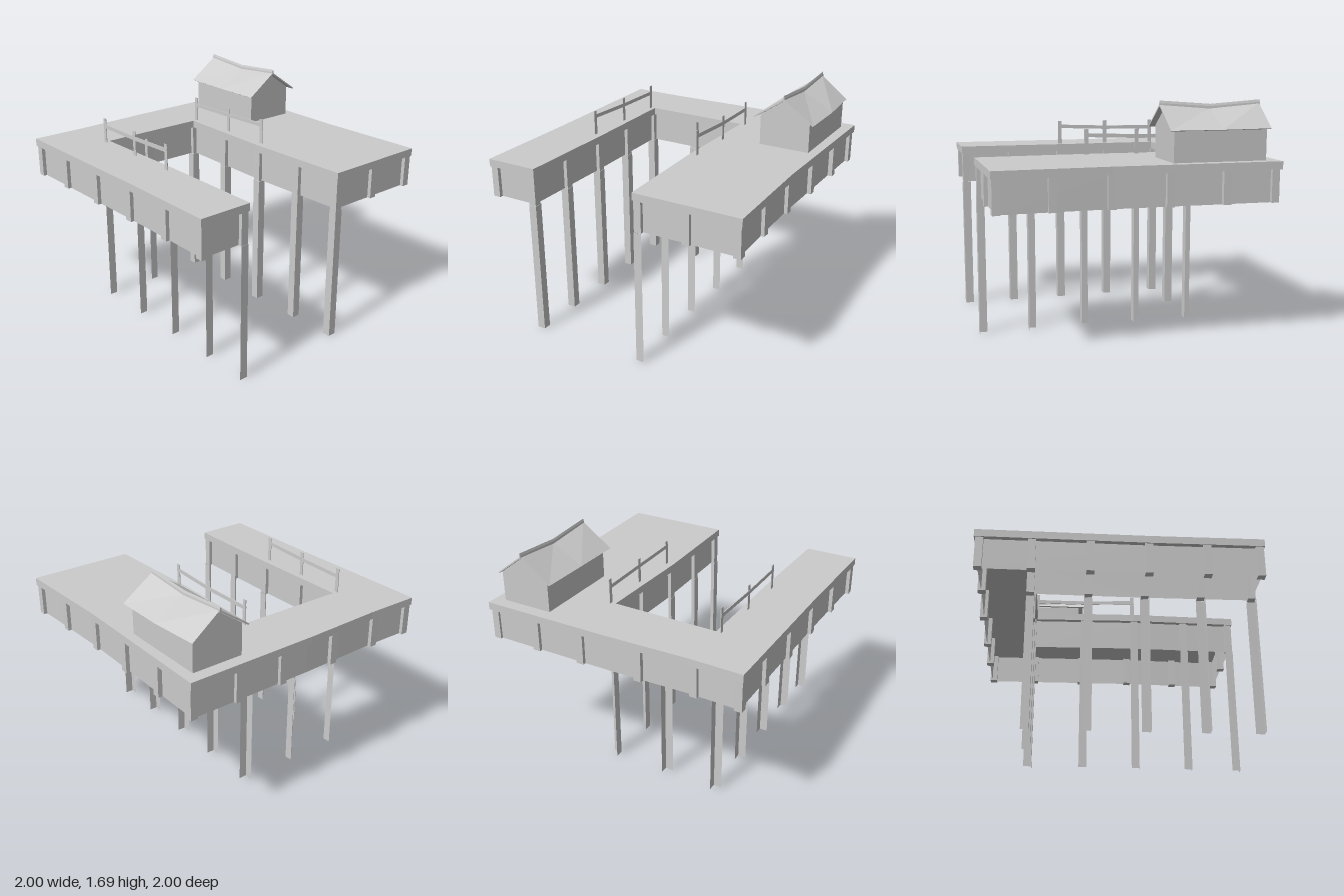
import * as THREE from 'three';

const solid = new THREE.MeshStandardMaterial({ color: 0xcccccc, flatShading: true });
const sheet = new THREE.MeshStandardMaterial({ color: 0xcccccc, flatShading: true, side: THREE.DoubleSide });

const DECK_BOTTOM = 1.23, DECK_TOP = 1.285, SKIRT_BOTTOM = 1.0, POST = 0.055;

// Bend of the crooked long edges: 0 at both ends, 1 at z = 0.2
const bend = z => Math.max(0, 1 - Math.abs(z - 0.2) / (z > 0.2 ? 0.8 : 0.8 + 0.4));
const outerRight = z => 1 - 0.025 * bend(z);
const innerRight = z => 0.2 - 0.02 * bend(z);
const innerLeft = z => -0.605 + 0.01 * bend(z);
const outerLeft = z => -1 + 0.008 * bend(z);

// U-shaped plan as [x, z] points, shrunk inward by d
function outline(d) {
  return [
    [-1 + d, 1 - d], [innerLeft(1) - d, 1 - d], [innerLeft(0.2) - d, 0.2], [innerLeft(-0.58) - d, -0.585 - d],
    [0.2 + d, -0.575 - d], [innerRight(0.2) + d, 0.2], [0.2 + d, 1 - d], [1 - d, 1 - d],
    [outerRight(0.2) - d, 0.2], [0.99 - d, -1 + d], [0, -1 + d], [-0.6, -0.985 + d],
    [-1 + d, -0.992 + d], [outerLeft(0.2) + d, 0.2],
  ];
}

function addMesh(parent, name, geometry, material = solid) {
  const mesh = new THREE.Mesh(geometry, material);
  mesh.name = name;
  parent.add(mesh);
  return mesh;
}

// Thin upright panel between two plan points
function addPanel(parent, name, [x0, z0], [x1, z1], y0, y1) {
  const mesh = addMesh(parent, name, new THREE.PlaneGeometry(Math.hypot(x1 - x0, z1 - z0), y1 - y0), sheet);
  mesh.position.set((x0 + x1) / 2, (y0 + y1) / 2, (z0 + z1) / 2);
  mesh.rotation.y = -Math.atan2(z1 - z0, x1 - x0);
}

// Short post covering the skirt
function addSkirtPost(parent, x, z) {
  const h = DECK_BOTTOM - SKIRT_BOTTOM;
  addMesh(parent, 'skirtPost', new THREE.BoxGeometry(POST, h, POST)).position.set(x, SKIRT_BOTTOM + h / 2, z);
}

// Long leg with an angle section: one plate to the front, one to the side given by sign
function addLeg(parent, x, z, sign) {
  const leg = new THREE.Group();
  leg.name = 'leg';
  const r = 0.03, cx = x + sign * r, cz = z + r;
  addPanel(leg, 'legFrontPlate', [x - r, cz], [x + r, cz], 0, SKIRT_BOTTOM);
  addPanel(leg, 'legSidePlate', [cx, cz], [cx, z - r], 0, SKIRT_BOTTOM);
  parent.add(leg);
  addSkirtPost(parent, x, z);
}

// Section in x, y drawn along z in two steps and sagging in the middle
function saggingExtrude(points, zBack, zFront, sag) {
  const shape = new THREE.Shape(points.map(p => new THREE.Vector2(...p)));
  const geometry = new THREE.ExtrudeGeometry(shape, { depth: zFront - zBack, steps: 2, bevelEnabled: false });
  geometry.translate(0, 0, zBack);
  const pos = geometry.attributes.position, mid = (zBack + zFront) / 2, half = (zFront - zBack) / 2;
  for (let i = 0; i < pos.count; i++) {
    const middle = 1 - Math.abs(pos.getZ(i) - mid) / half;
    const height = Math.max(0, (pos.getY(i) - 1.5) / 0.17);
    pos.setY(i, pos.getY(i) - sag * middle * height);
  }
  geometry.computeVertexNormals();
  return geometry;
}

function createDeck() {
  const deck = new THREE.Group();
  deck.name = 'deck';
  const shape = new THREE.Shape(outline(0).map(([x, z]) => new THREE.Vector2(x, -z)));
  const slab = new THREE.ExtrudeGeometry(shape, { depth: DECK_TOP - DECK_BOTTOM, bevelEnabled: false });
  slab.rotateX(-Math.PI / 2).translate(0, DECK_BOTTOM, 0);
  addMesh(deck, 'deckSlab', slab);

  // Recessed skirt, open below
  const loop = outline(0.035);
  loop.forEach((p, i) => addPanel(deck, 'skirtPanel', p, loop[(i + 1) % loop.length], SKIRT_BOTTOM, DECK_BOTTOM));
  return deck;
}

function createPosts() {
  const posts = new THREE.Group();
  posts.name = 'posts';
  const d = 0.035;
  // Legs along the inner edges of both arms and the back
  for (const z of [0.965, 0.6, 0.2, -0.2, -0.61]) {
    addLeg(posts, innerLeft(z) - d, z, 1);
    addLeg(posts, innerRight(z) + d, z, -1);
  }
  addLeg(posts, -0.23, -0.61, 1);
  // Skirt posts around the outside
  for (const z of [0.965, 0.6, 0.2, -0.2, -0.6, -0.955]) {
    addSkirtPost(posts, outerLeft(z) + d, z);
    addSkirtPost(posts, outerRight(z) - d - (z < -0.9 ? 0.01 : 0), z);
  }
  for (const x of [-0.64, -0.23, 0.23, 0.6]) addSkirtPost(posts, x, x < -0.5 ? -0.95 : -0.963);
  addSkirtPost(posts, 0.595, 0.965);
  return posts;
}

// Thin railing: three posts and a rail through [x, y, z] points
function createRailing(name, points) {
  const railing = new THREE.Group();
  railing.name = name;
  for (const [x, , z] of points) {
    addMesh(railing, 'railingPost', new THREE.BoxGeometry(0.005, 0.185, 0.03)).position.set(x, DECK_TOP + 0.0925, z);
  }
  for (let i = 0; i + 1 < points.length; i++) {
    const a = new THREE.Vector3(...points[i]), b = new THREE.Vector3(...points[i + 1]);
    const rail = addMesh(railing, 'rail', new THREE.BoxGeometry(0.006, 0.028, a.distanceTo(b) + 0.03));
    rail.position.copy(a).lerp(b, 0.5);
    rail.lookAt(b);
  }
  return railing;
}

function createHut() {
  const hut = new THREE.Group();
  hut.name = 'hut';
  const ridge = 0.718;
  addMesh(hut, 'hutWalls', saggingExtrude(
    [[0.525, 1.28], [0.91, 1.28], [0.91, 1.515], [ridge, 1.65], [0.525, 1.515]], -0.91, -0.24, 0.03));

  // Roof with a bulging right eave
  const roof = saggingExtrude(
    [[0.485, 1.505], [0.495, 1.5], [ridge, 1.655], [0.945, 1.5], [0.953, 1.505], [ridge, 1.668]], -0.935, -0.2, 0.03);
  const pos = roof.attributes.position;
  for (let i = 0; i < pos.count; i++) {
    if (pos.getZ(i) < -0.9 && pos.getX(i) > 0.9) pos.setX(i, pos.getX(i) - 0.025);
  }
  roof.computeVertexNormals();
  addMesh(hut, 'hutRoof', roof);
  addMesh(hut, 'ridgeCap', saggingExtrude(
    [[ridge - 0.008, 1.65], [ridge + 0.008, 1.65], [ridge + 0.006, 1.675], [ridge, 1.693], [ridge - 0.006, 1.675]],
    -0.94, -0.2, 0.024));
  return hut;
}

export function createModel() {
  const model = new THREE.Group();
  model.name = 'stiltDeck';
  model.add(
    createDeck(),
    createPosts(),
    createRailing('rightArmRailing', [[0.235, 1.427, 0.19], [0.243, 1.413, -0.19], [0.236, 1.41, -0.58]]),
    createRailing('leftArmRailing', [[-0.65, 1.427, 0.19], [-0.645, 1.413, -0.19], [-0.637, 1.41, -0.58]]),
    createHut(),
  );
  return model;
}
